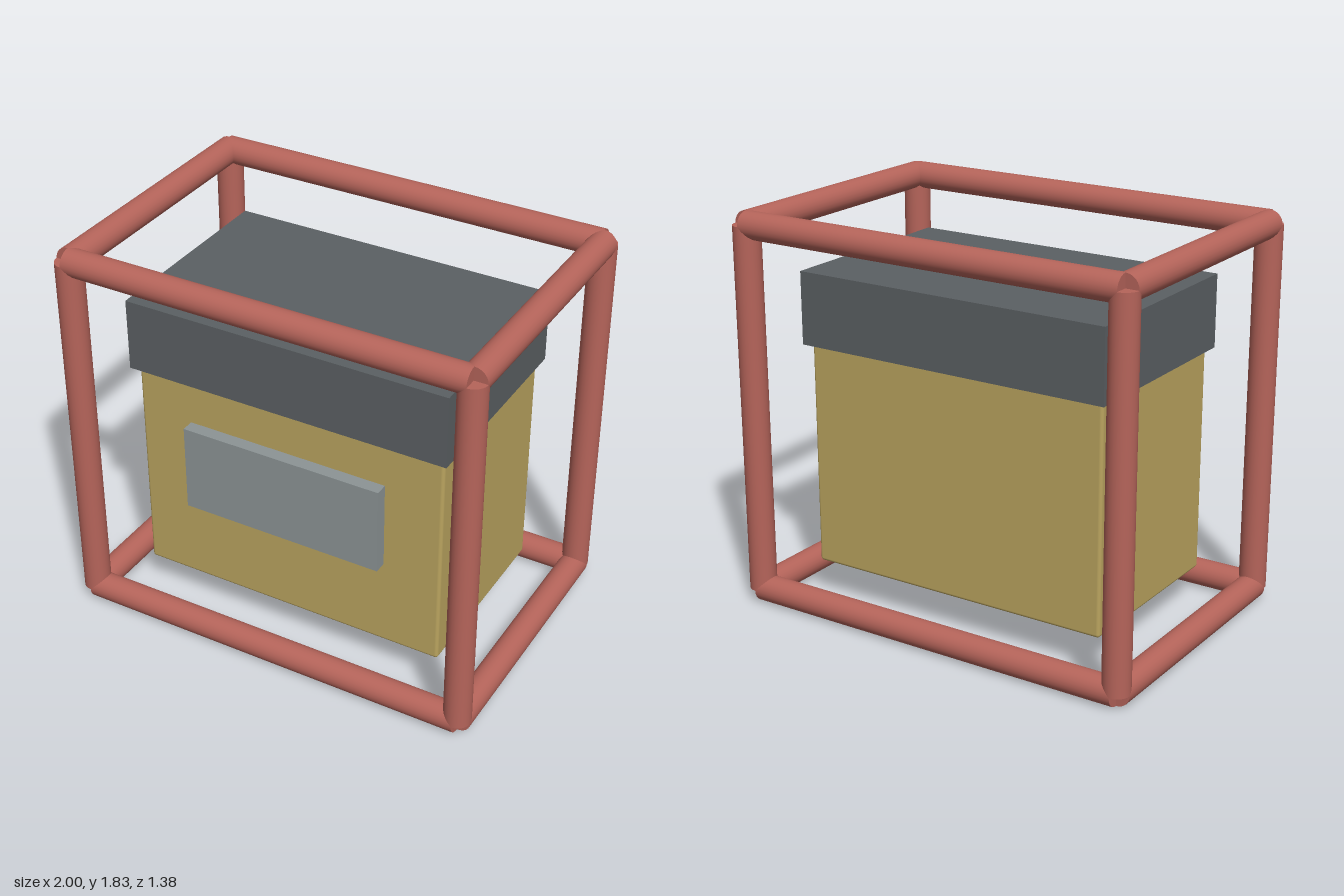
import * as THREE from 'three';
import { RoundedBoxGeometry } from 'three/addons/geometries/RoundedBoxGeometry.js';

function material(name, color) {
  const m = new THREE.MeshStandardMaterial({ color });
  m.name = name;
  return m;
}

export function createModel() {
  const model = new THREE.Group();
  model.name = 'framedGenerator';
  const red = material('frameRed', 0xb5645a);
  const ochre = material('bodyOchre', 0xbaa45f);
  const dark = material('lidGrey', 0x5b6063);
  const light = material('panelGrey', 0x8c9495);

  const add = (parent, name, geometry, mat, x, y, z) => {
    const mesh = new THREE.Mesh(geometry, mat);
    mesh.name = name;
    mesh.position.set(x, y, z);
    parent.add(mesh);
    return mesh;
  };

  // Body with softly rounded edges, lid and front panel
  add(model, 'body', new RoundedBoxGeometry(1.49, 1.05, 0.89, 3, 0.015), ochre, 0, 0.7, 0);
  add(model, 'lid', new THREE.BoxGeometry(1.54, 0.335, 0.96), dark, 0, 1.3875, 0);
  add(model, 'frontPanel', new THREE.BoxGeometry(0.96, 0.41, 0.06), light, 0, 0.81, 0.485);

  // Tubular cage: four pipes along each axis, ending on the corner centres
  const frame = new THREE.Group();
  frame.name = 'frame';
  model.add(frame);
  const r = 0.0625, X = 0.9375, Z = 0.625, low = r, high = 1.77;
  const pipe = (length) => new THREE.CylinderGeometry(r, r, length, 24);
  const along = pipe(2 * X), across = pipe(2 * Z), upright = pipe(high - low);
  for (const a of [-1, 1]) {
    for (const b of [-1, 1]) {
      const y = b < 0 ? low : high;
      add(frame, 'longRail', along, red, 0, y, a * Z).rotation.z = Math.PI / 2;
      add(frame, 'crossRail', across, red, a * X, y, 0).rotation.x = Math.PI / 2;
      add(frame, 'upright', upright, red, a * X, (low + high) / 2, b * Z);
    }
  }
  return model;
}
